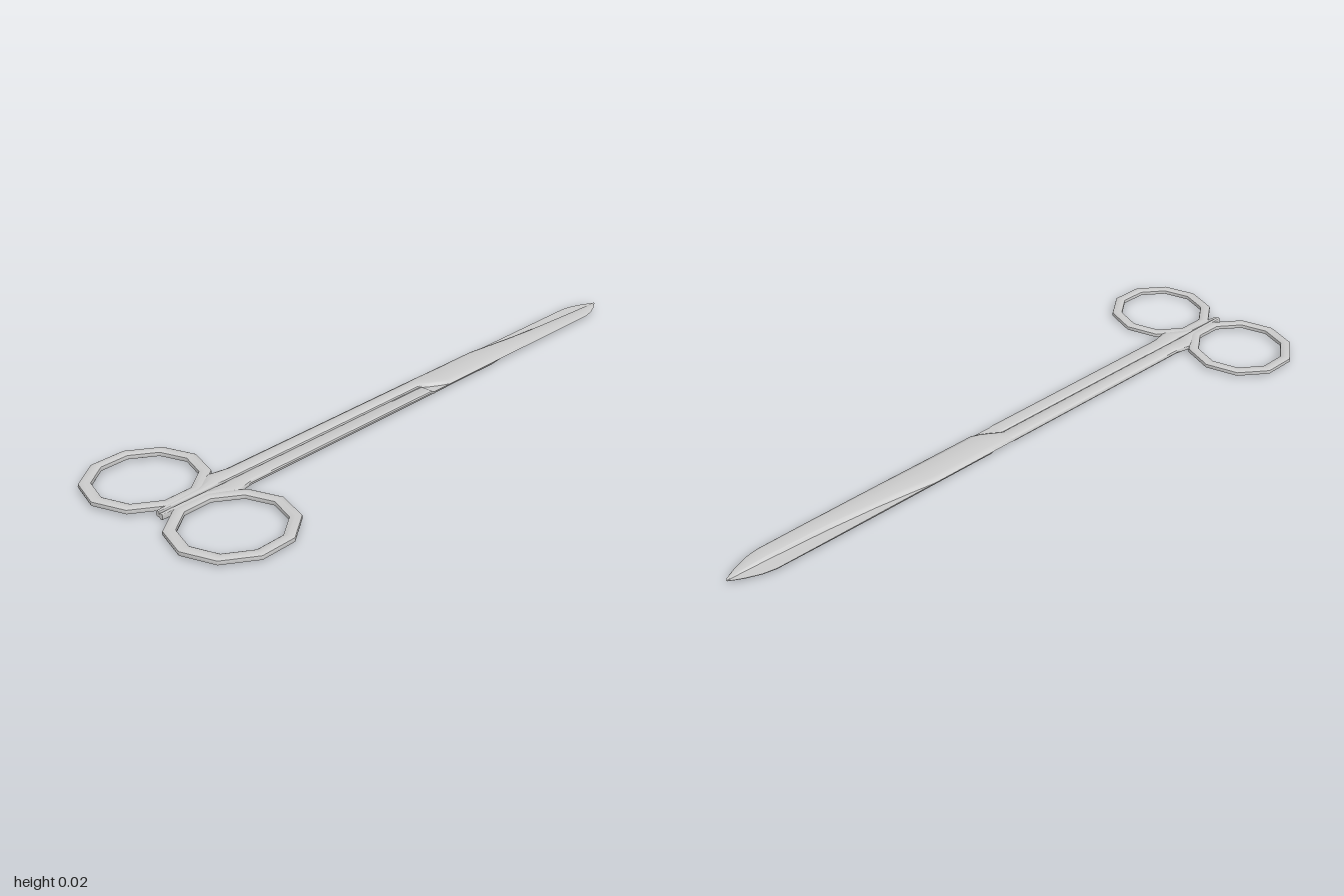
import * as THREE from 'three';
import { toCreasedNormals } from 'three/addons/utils/BufferGeometryUtils.js';

const SIDES = 12;
const soft = (v) => Math.sign(v) * Math.pow(Math.abs(v), 0.6);

// Rounded-rectangle outline: [across, up] at step j of n
function outline(j, n) {
  const t = (j / n) * Math.PI * 2;
  return [soft(Math.cos(t)), soft(Math.sin(t))];
}

// Skin along x through stations [x, zMin, zMax, yBottom, yTop]
function loft(stations) {
  const pos = [], idx = [];
  stations.forEach(([x, z0, z1, bottom, top]) => {
    const y0 = Math.max(bottom, 0), low = y0 - bottom;
    for (let j = 0; j < SIDES; j++) {
      const [a, b] = outline(j, SIDES);
      pos.push(x, b > 0 ? y0 + b * (top - y0) : y0 + b * low, (z0 + z1) / 2 + a * (z1 - z0) / 2);
    }
  });
  for (let i = 0; i < stations.length - 1; i++) {
    for (let j = 0; j < SIDES; j++) {
      const a = i * SIDES + j, b = i * SIDES + (j + 1) % SIDES;
      idx.push(a, a + SIDES, b, b, a + SIDES, b + SIDES);
    }
  }
  const last = (stations.length - 1) * SIDES;
  for (let j = 1; j < SIDES - 1; j++) {
    idx.push(0, j, j + 1, last, last + j + 1, last + j);
  }
  const g = new THREE.BufferGeometry();
  g.setAttribute('position', new THREE.Float32BufferAttribute(pos, 3));
  g.setIndex(idx);
  return toCreasedNormals(g, 0.9);
}

// Shank beside the centre line, widening at the joint
const shank = [
  [-0.92, -0.012, 0.0, -0.0065, 0.0105],
  [-0.78, -0.022, 0.0, -0.0065, 0.0105],
  [-0.72, -0.062, 0.0, -0.0065, 0.0105],
  [-0.69, -0.055, 0.0, -0.0065, 0.0105],
  [-0.66, -0.0485, 0.0, -0.0065, 0.0105],
  [0.06, -0.0485, 0.0, -0.0065, 0.0105],
  [0.07, -0.0485, 0.003, 0, 0.011],
];

// Blade crossing to the other side and tapering to the tip
const blade = [
  [0.07, -0.0485, 0.003, 0, 0.011],
  [0.09, -0.0485, 0.018, 0, 0.0112],
  [0.115, -0.0485, 0.034, 0, 0.0115],
  [0.145, -0.0485, 0.0485, 0, 0.0115],
  [0.36, -0.0485, 0.0485, 0, 0.0115],
  [0.45, -0.036, 0.0485, 0, 0.0112],
  [0.55, -0.024, 0.0485, 0, 0.0105],
  [0.7, -0.012, 0.0485, 0, 0.009],
  [0.88, -0.004, 0.0485, 0, 0.006],
  [0.92, -0.003, 0.041, 0, 0.005],
  [0.96, -0.002, 0.025, 0, 0.0035],
  [0.985, -0.002, 0.012, 0, 0.0025],
  [1.0, -0.002, 0.003, 0, 0.0015],
];

// Ten-sided finger ring with a softened section
function ringGeometry() {
  const profile = [];
  for (let j = 0; j <= SIDES; j++) {
    const [a, b] = outline(j % SIDES, SIDES);
    profile.push(new THREE.Vector2(0.153 + a * 0.017, b * 0.0085));
  }
  return toCreasedNormals(new THREE.LatheGeometry(profile, 10, Math.PI / 2), 0.7);
}

export function createModel() {
  const model = new THREE.Group();
  model.name = 'scissors';
  const metal = new THREE.MeshStandardMaterial({ color: 0xcccccc });
  const parts = { shank: loft(shank), blade: loft(blade), fingerRing: ringGeometry() };

  // The two halves are the same piece turned over about the long axis
  ['upperHalf', 'lowerHalf'].forEach((name, i) => {
    const half = new THREE.Group();
    half.name = name;
    for (const [part, geometry] of Object.entries(parts)) {
      const mesh = new THREE.Mesh(geometry, metal);
      mesh.name = part;
      if (part === 'fingerRing') mesh.position.set(-0.83, 0.002, -0.1685);
      half.add(mesh);
    }
    half.position.y = 0.0115;
    half.rotation.x = i * Math.PI;
    model.add(half);
  });
  return model;
}
